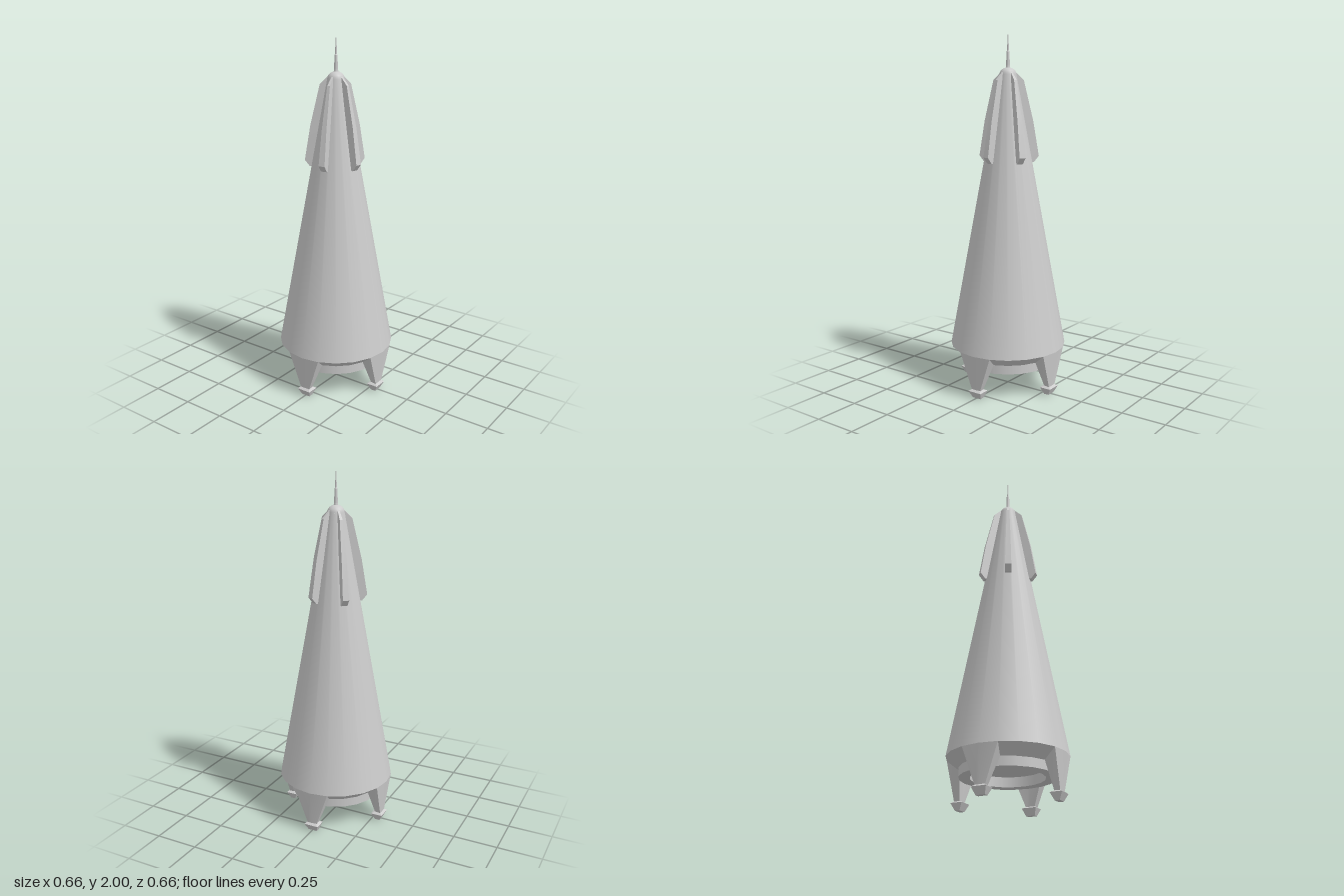
import * as THREE from 'three';
import { mergeGeometries, toCreasedNormals } from 'three/addons/utils/BufferGeometryUtils.js';

const material = new THREE.MeshStandardMaterial({ color: 0xcccccc });

function addMesh(parent, name, geometry) {
  const mesh = new THREE.Mesh(geometry, material);
  mesh.name = name;
  parent.add(mesh);
  return mesh;
}

// Turned shape with a crisp edge at every profile point
function turned(profile, sides) {
  const pieces = [];
  for (let i = 0; i + 1 < profile.length; i++) {
    const pair = [profile[i], profile[i + 1]].map(([r, y]) => new THREE.Vector2(r, y));
    pieces.push(new THREE.LatheGeometry(pair, sides));
  }
  return mergeGeometries(pieces);
}

// Solid through equal rings of points, listed bottom to top, counter-clockwise from above
function loft(rings) {
  const n = rings[0].length;
  const index = [];
  for (let k = 0; k + 1 < rings.length; k++) {
    for (let i = 0; i < n; i++) {
      const a = k * n + i, b = k * n + (i + 1) % n;
      index.push(a, b, b + n, a, b + n, a + n);
    }
  }
  const top = (rings.length - 1) * n;
  for (let i = 1; i + 1 < n; i++) {
    index.push(0, i + 1, i, top, top + i, top + i + 1);
  }
  const geometry = new THREE.BufferGeometry();
  geometry.setAttribute('position', new THREE.Float32BufferAttribute(rings.flat(2), 3));
  geometry.setIndex(index);
  return toCreasedNormals(geometry, 0.4);
}

// Four-cornered ring reaching from z0 (inner) to z1 (outer)
const rectRing = (y, halfWidth, z0, z1) => [
  [-halfWidth, y, z1], [halfWidth, y, z1], [halfWidth, y, z0], [-halfWidth, y, z0],
];

// Six-cornered curved ring for a leg
function legRing(yOut, rOut, yIn, rIn, angle) {
  const at = (r, y, a) => [r * Math.sin(a), y, r * Math.cos(a)];
  return [
    ...[-angle, 0, angle].map((a) => at(rOut, yOut, a)),
    ...[angle, 0, -angle].map((a) => at(rIn, yIn, a)),
  ];
}

export function createModel() {
  const model = new THREE.Group();
  model.name = 'rocket';

  // Tapered hull
  const hullRadius = (y) => 0.33 - 0.184 * (y - 0.25);
  addMesh(model, 'hull', turned([[0.33, 0.25], [hullRadius(1.785), 1.785]], 20));

  // Recessed base: ceiling, inner wall, rim, outer wall, sloped underside
  addMesh(model, 'engineRing', turned(
    [[0, 0.2], [0.2, 0.2], [0.2, 0.145], [0.26, 0.145], [0.26, 0.195], [0.33, 0.25]], 20));

  // Rounded nose cap
  const dome = [];
  for (let i = 0; i <= 6; i++) {
    const a = (i / 6) * Math.PI / 2;
    dome.push(new THREE.Vector2(0.0475 * Math.cos(a), 1.785 + 0.04 * Math.sin(a)));
  }
  addMesh(model, 'noseCap', new THREE.LatheGeometry(dome, 20));

  // Antenna
  addMesh(model, 'antenna', turned(
    [[0.014, 1.815], [0.011, 1.835], [0.008, 1.91], [0.005, 1.915], [0.003, 2], [0, 2]], 8));

  // Four legs with pointed feet
  const legGeometry = loft([
    legRing(0.04, 0.306, 0.04, 0.274, 0.085),
    legRing(0.25, 0.33, 0.195, 0.26, Math.PI / 10),
  ]);
  const footGeometry = loft([
    rectRing(0, 0.026, 0.272, 0.3),
    rectRing(0.04, 0.042, 0.252, 0.32),
    rectRing(0.05, 0.026, 0.274, 0.306),
  ]);
  for (let i = 0; i < 4; i++) {
    const leg = new THREE.Group();
    leg.name = 'landingLeg' + (i + 1);
    addMesh(leg, 'strut', legGeometry);
    addMesh(leg, 'foot', footGeometry);
    leg.rotation.y = i * Math.PI / 2;
    model.add(leg);
  }

  // Five ribs around the nose: height, outer radius, half width
  const finGeometry = loft([
    [1.3, 0.145, 0.018], [1.335, 0.173, 0.018], [1.53, 0.141, 0.014],
    [1.755, 0.088, 0.008], [1.805, 0.037, 0.005],
  ].map(([y, r, w]) => rectRing(y, w, Math.max(0.01, hullRadius(y) - 0.03), r)));
  for (let i = 0; i < 5; i++) {
    const fin = addMesh(model, 'noseFin' + (i + 1), finGeometry);
    fin.rotation.y = THREE.MathUtils.degToRad(63 + 72 * i);
  }

  return model;
}
